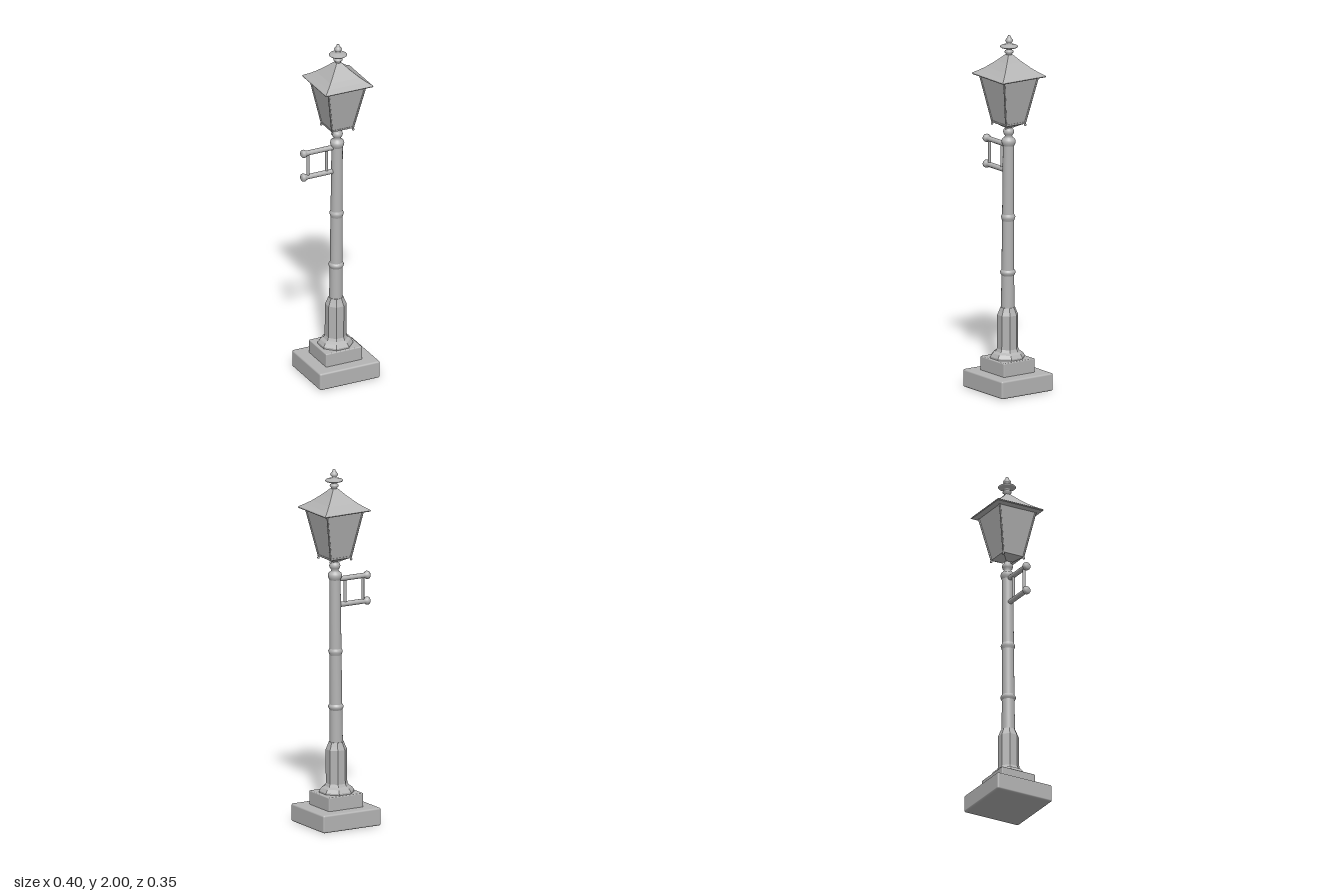
import * as THREE from 'three';
import { RoundedBoxGeometry } from 'three/addons/geometries/RoundedBoxGeometry.js';

export function createModel() {
  const root = new THREE.Group();
  root.name = 'streetLamp';
  const grey = new THREE.MeshStandardMaterial({ color: 0xb4b4b4 });
  grey.name = 'grey';

  const add = (parent, name, geometry, x = 0, y = 0, z = 0) => {
    const mesh = new THREE.Mesh(geometry, grey);
    mesh.name = name;
    mesh.position.set(x, y, z);
    parent.add(mesh);
    return mesh;
  };
  const points = (list) => list.map(([r, y]) => new THREE.Vector2(r, y));
  const round = (list, segments = 28) => new THREE.LatheGeometry(points(list), segments);
  // Faceted prism whose profile gives the distance from the axis to each flat side
  const faceted = (list, sides) => {
    const k = 1 / Math.cos(Math.PI / sides);
    const g = new THREE.LatheGeometry(points(list.map(([r, y]) => [r * k, y])), sides, Math.PI / sides).toNonIndexed();
    g.computeVertexNormals();
    return g;
  };

  // Stepped plinth
  add(root, 'lowerPlinth', new RoundedBoxGeometry(0.368, 0.1, 0.346, 3, 0.01), 0.014, 0.05, -0.001);
  add(root, 'upperPlinth', new RoundedBoxGeometry(0.222, 0.085, 0.21, 3, 0.006), 0.011, 0.135, 0);

  // Everything above leans very slightly toward +x
  const lamp = new THREE.Group();
  lamp.name = 'lamp';
  lamp.position.x = 0.008;
  lamp.rotation.z = -0.009;
  root.add(lamp);

  // Post: eight-sided pedestal, round shaft with collars
  add(lamp, 'pedestal', faceted([
    [0, 0.17], [0.09, 0.17], [0.09, 0.187], [0.078, 0.205], [0.062, 0.215],
    [0.055, 0.23], [0.054, 0.42], [0.046, 0.44], [0.038, 0.462], [0, 0.462],
  ], 8));
  add(lamp, 'shaft', round([
    [0.037, 0.42], [0.035, 0.64], [0.033, 0.965], [0.031, 1.39],
  ]));
  for (const [y, r] of [[0.66, 0.043], [0.972, 0.04]]) {
    add(lamp, 'collar', round([
      [0.033, y - 0.022], [r - 0.003, y - 0.009], [r, y], [r - 0.003, y + 0.007], [0.033, y + 0.016],
    ]));
  }
  add(lamp, 'neck', round([
    [0.031, 1.375], [0.037, 1.387], [0.039, 1.4], [0.036, 1.412], [0.024, 1.42], [0.019, 1.43],
    [0.027, 1.442], [0.031, 1.454], [0.027, 1.466], [0.018, 1.474], [0.02, 1.484], [0.034, 1.497], [0.04, 1.503],
  ]));

  // Lantern
  add(lamp, 'lanternBottom', faceted([
    [0.02, 1.478], [0.036, 1.488], [0.066, 1.503], [0.067, 1.512], [0, 1.512],
  ], 4));
  add(lamp, 'lanternBody', faceted([[0.063, 1.506], [0.115, 1.775]], 4));
  const up = new THREE.Vector3(0, 1, 0);
  for (const sx of [-1, 1]) {
    for (const sz of [-1, 1]) {
      // Corner bar with a small foot
      const a = new THREE.Vector3(sx * 0.063, 1.498, sz * 0.063);
      const b = new THREE.Vector3(sx * 0.115, 1.772, sz * 0.115);
      const bar = add(lamp, 'cornerBar', new THREE.CylinderGeometry(0.005, 0.005, a.distanceTo(b), 8));
      bar.position.copy(a).add(b).multiplyScalar(0.5);
      bar.quaternion.setFromUnitVectors(up, b.clone().sub(a).normalize());
      add(lamp, 'foot', new THREE.SphereGeometry(0.007, 10, 8), sx * 0.065, 1.495, sz * 0.065);
    }
  }
  add(lamp, 'roof', faceted([
    [0, 1.762], [0.118, 1.763], [0.143, 1.769], [0.146, 1.774], [0.142, 1.779],
    [0.118, 1.794], [0.09, 1.815], [0.05, 1.852], [0.015, 1.889], [0, 1.893],
  ], 4));

  // Finial
  add(lamp, 'finial', round([
    [0.014, 1.88], [0.017, 1.895], [0.025, 1.903], [0.023, 1.911], [0.013, 1.917],
    [0.02, 1.924], [0.045, 1.93], [0.05, 1.935], [0.044, 1.94], [0.02, 1.946], [0.01, 1.952],
    [0.019, 1.962], [0.022, 1.969], [0.016, 1.978], [0.01, 1.986], [0.007, 1.996], [0, 2],
  ]));

  // Side bracket: two rails with knobs joined by two uprights
  const bracket = new THREE.Group();
  bracket.name = 'sideBracket';
  root.add(bracket);
  for (const y of [1.23, 1.375]) {
    const rail = add(bracket, 'rail', round([
      [0.014, 0], [0.014, 0.178], [0.017, 0.187], [0.022, 0.192], [0.023, 0.2],
      [0.021, 0.208], [0.014, 0.213], [0, 0.214],
    ], 20), 0.014, y, -0.001);
    rail.rotation.z = Math.PI / 2;
  }
  for (const x of [-0.158, -0.044]) {
    add(bracket, 'upright', new THREE.CylinderGeometry(0.008, 0.008, 0.145, 14), x, 1.3025, -0.001);
  }
  return root;
}
